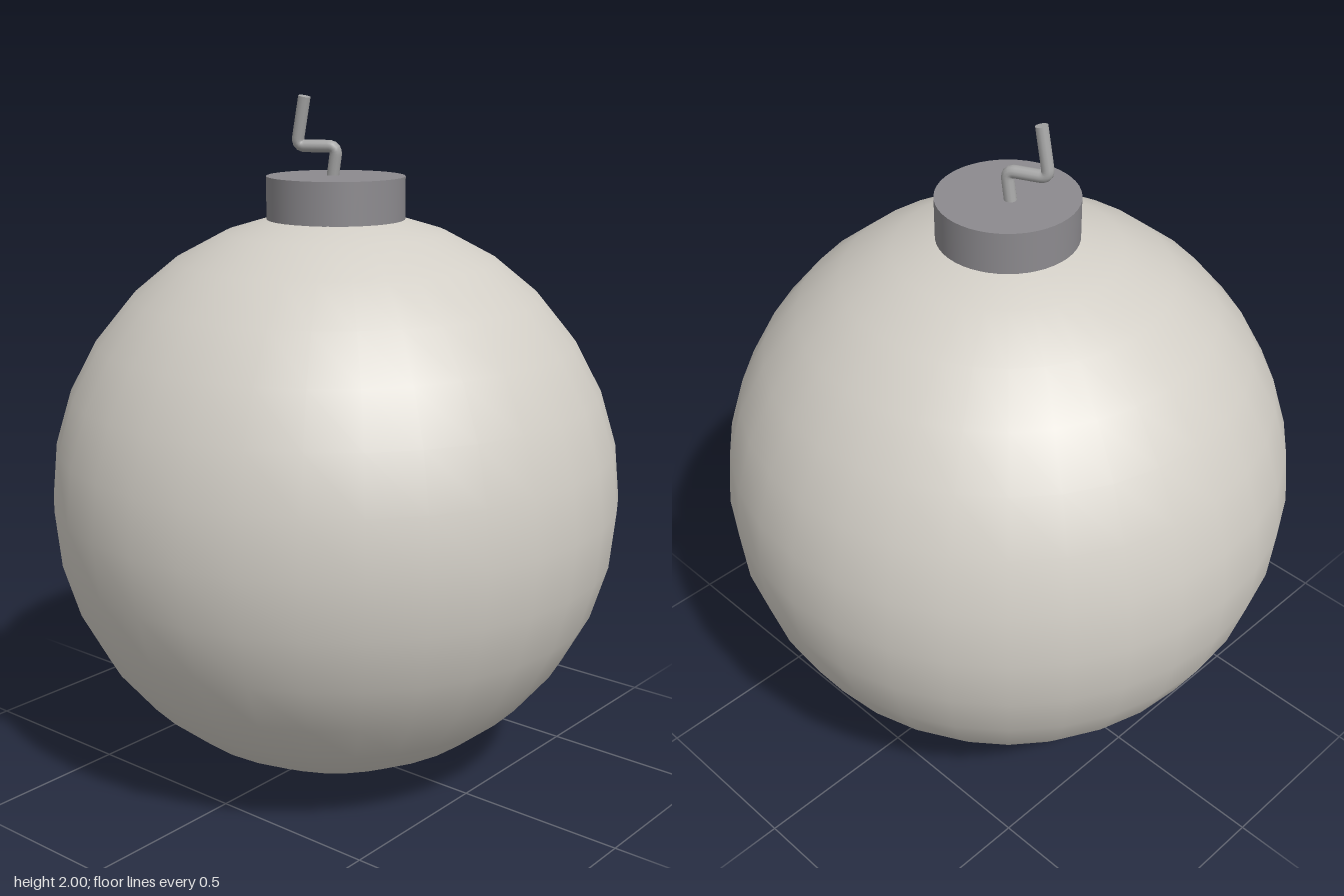
import * as THREE from 'three';

const material = (color) => new THREE.MeshStandardMaterial({ color });

function addPart(group, name, geometry, mat, position = [0, 0, 0]) {
  const mesh = new THREE.Mesh(geometry, mat);
  mesh.name = name;
  mesh.position.set(...position);
  group.add(mesh);
  return mesh;
}

// Straight runs joined by small rounded bends
function bentPath(points, bend) {
  const path = new THREE.CurvePath();
  let from = points[0];
  for (let i = 1; i < points.length - 1; i++) {
    const corner = points[i];
    const toward = (p) => p.clone().sub(corner).setLength(bend).add(corner);
    const a = toward(points[i - 1]), b = toward(points[i + 1]);
    path.add(new THREE.LineCurve3(from, a));
    path.add(new THREE.QuadraticBezierCurve3(a, corner, b));
    from = b;
  }
  path.add(new THREE.LineCurve3(from, points[points.length - 1]));
  return path;
}

export function createModel() {
  const model = new THREE.Group();
  model.name = 'roundBomb';

  // Round body, standing on its lower pole
  const radius = 0.84;
  addPart(model, 'body', new THREE.SphereGeometry(radius, 32, 16), material(0xd2cec6), [0, radius, 0]);

  // Short collar sunk slightly into the body
  addPart(model, 'collar', new THREE.CylinderGeometry(0.2, 0.2, 0.135, 48), material(0x8c8a8e), [0, 1.7075, 0]);

  // Crooked fuse
  const fuse = new THREE.Group();
  fuse.name = 'fuse';
  model.add(fuse);
  const fuseMaterial = material(0xa6a6a6);
  const fuseRadius = 0.018;
  const points = [
    [0.01, 1.74, -0.025],
    [0.01, 1.857, -0.005],
    [-0.04, 1.857, -0.112],
    [-0.04, 1.997, -0.083],
  ].map((p) => new THREE.Vector3(...p));
  const path = bentPath(points, 0.025);
  addPart(fuse, 'fuseCord', new THREE.TubeGeometry(path, 48, fuseRadius, 12), fuseMaterial);

  // Closed tip of the fuse
  const tip = addPart(fuse, 'fuseTip', new THREE.CircleGeometry(fuseRadius, 12), fuseMaterial, points[3].toArray());
  tip.quaternion.setFromUnitVectors(new THREE.Vector3(0, 0, 1), path.getTangent(1));

  return model;
}
